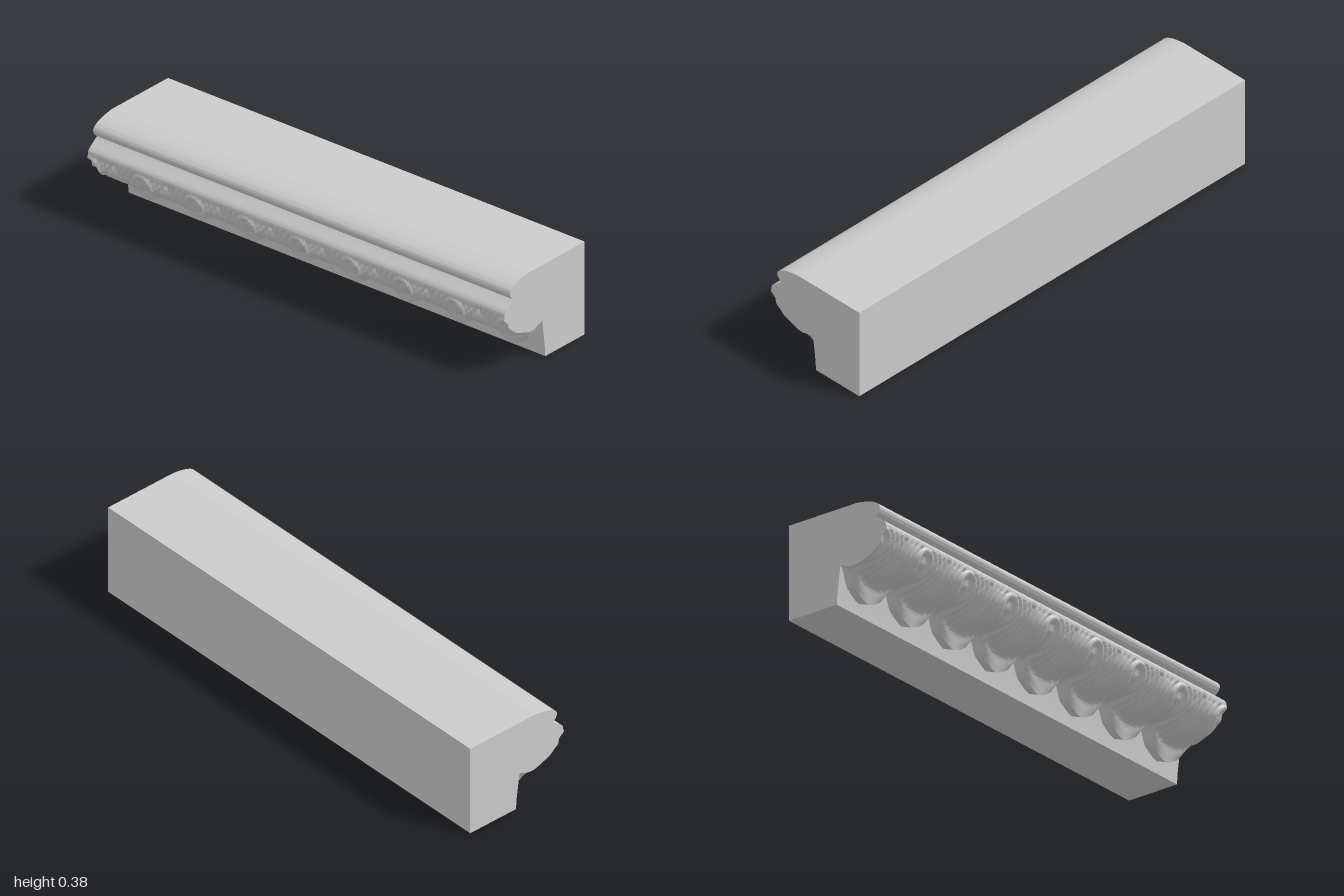
import * as THREE from 'three';
import { toCreasedNormals } from 'three/addons/utils/BufferGeometryUtils.js';

const material = new THREE.MeshStandardMaterial({ color: 0xcccccc });
const PITCH = 0.25; // spacing of the repeating leaves
const V = (z, y) => new THREE.Vector2(z, y);
const gauss = (d, w) => Math.exp(-((d / w) ** 2));
const smooth = THREE.MathUtils.smoothstep;

// Sections are lists of (z, y) points, running over the top, down the front and round the back.
const crown = [
  V(-0.23, 0.385), V(0.08, 0.385),
  ...new THREE.SplineCurve([V(0.09, 0.385), V(0.14, 0.376), V(0.18, 0.36), V(0.197, 0.34),
    V(0.19, 0.32), V(0.175, 0.307)]).getPoints(24),
  ...new THREE.SplineCurve([V(0.177, 0.305), V(0.2, 0.288), V(0.218, 0.275), V(0.225, 0.265)]).getPoints(6),
];
const wall = [V(0.012, 0.155), V(-0.002, 0.045), V(-0.005, 0), V(-0.23, 0), V(-0.23, 0.385)];

// Carved band: one section through a leaf tip, one through the gap between leaves
const ROWS = 46, UNDER = 6;
function bandSection(outer, end) {
  const pts = new THREE.SplineCurve(outer).getPoints(ROWS);
  const lip = pts[ROWS];
  for (let i = 1; i <= UNDER; i++) pts.push(lip.clone().lerp(end, i / UNDER));
  return pts;
}
const tipSection = bandSection([V(0.225, 0.265), V(0.228, 0.25), V(0.223, 0.222), V(0.203, 0.18),
  V(0.15, 0.138), V(0.085, 0.103), V(0.06, 0.088), V(0.05, 0.058), V(0.042, 0.031)], V(-0.003, 0.048));
const gapSection = bandSection([V(0.225, 0.265), V(0.228, 0.25), V(0.222, 0.222), V(0.205, 0.185),
  V(0.172, 0.161), V(0.12, 0.149), V(0.095, 0.143), V(0.07, 0.136), V(0.04, 0.143)], V(0.012, 0.155));

// How far the leaf hangs down, from its centre (t = 0) to the gap (t = 1)
const drop = [1, 0.97, 0.93, 0.87, 0.81, 0.74, 0.67, 0.5, 0.28, 0.1, 0];
function leafWeight(t) {
  const i = Math.min(9, Math.floor(t * 10));
  return THREE.MathUtils.lerp(drop[i], drop[i + 1], t * 10 - i);
}

// Height of the carving: an oval eye over each gap, with flutes curling round it
function relief(t, y) {
  const e = Math.hypot((1 - t) * 0.125 / 0.034, (y - 0.192) / 0.042);
  const rim = 0.004 * gauss(e - 1.15, 0.25);
  const hollow = -0.016 * Math.exp(-((e / 0.85) ** 4)) + 0.007 * gauss(e, 0.4);
  const flute = 0.005 * (Math.cos((e - 1.15) * Math.PI * 2 / 0.72) - 1) * smooth(e, 1.1, 1.5);
  const vein = -0.005 * gauss(t, 0.09);
  const fade = smooth(y, 0.08, 0.15) * (1 - smooth(y, 0.235, 0.262));
  return rim + hollow + (flute + vein) * fade;
}

function carvedSection(x) {
  const t = Math.abs(2 * (x / PITCH - Math.floor(x / PITCH)) - 1);
  const w = leafWeight(t);
  const base = gapSection.map((p, i) => p.clone().lerp(tipSection[i], w));
  return base.map((p, i) => {
    if (i === 0 || i >= ROWS) return p;
    const s = base[i + 1].clone().sub(base[i - 1]).normalize();
    const h = relief(t, p.y) * smooth(i, 0, 5) * (1 - smooth(i, ROWS - 9, ROWS));
    return V(p.x - s.y * h, p.y + s.x * h);
  });
}

// Skin a section along the whole length
function loft(name, section, columns, crease) {
  const pos = [], index = [];
  let n = 0;
  for (let i = 0; i <= columns; i++) {
    const x = -1 + 2 * i / columns;
    const pts = section(x);
    n = pts.length;
    pts.forEach(p => pos.push(x, p.y, p.x));
  }
  for (let i = 0; i < columns; i++) {
    for (let j = 0; j < n - 1; j++) {
      const a = i * n + j, b = a + 1, c = a + n, d = c + 1;
      index.push(a, b, c, b, d, c);
    }
  }
  const geo = new THREE.BufferGeometry();
  geo.setAttribute('position', new THREE.Float32BufferAttribute(pos, 3));
  geo.setIndex(index);
  const mesh = new THREE.Mesh(toCreasedNormals(geo, crease), material);
  mesh.name = name;
  return mesh;
}

export function createModel() {
  const group = new THREE.Group();
  group.name = 'carvedMoulding';
  group.add(loft('crownAndBead', () => crown, 1, 0.6));
  group.add(loft('leafBand', carvedSection, 384, 0.9));
  group.add(loft('backingBlock', () => wall, 1, 0.3));

  // Flat sawn ends
  const outline = [...crown, ...carvedSection(1).slice(1), ...wall.slice(1, -1)];
  for (const side of [-1, 1]) {
    const shape = new THREE.Shape(outline.map(p => V(-side * p.x, p.y)));
    const cap = new THREE.Mesh(new THREE.ShapeGeometry(shape), material);
    cap.name = side > 0 ? 'leftEnd' : 'rightEnd';
    cap.rotation.y = side * Math.PI / 2;
    cap.position.x = side;
    group.add(cap);
  }
  return group;
}
